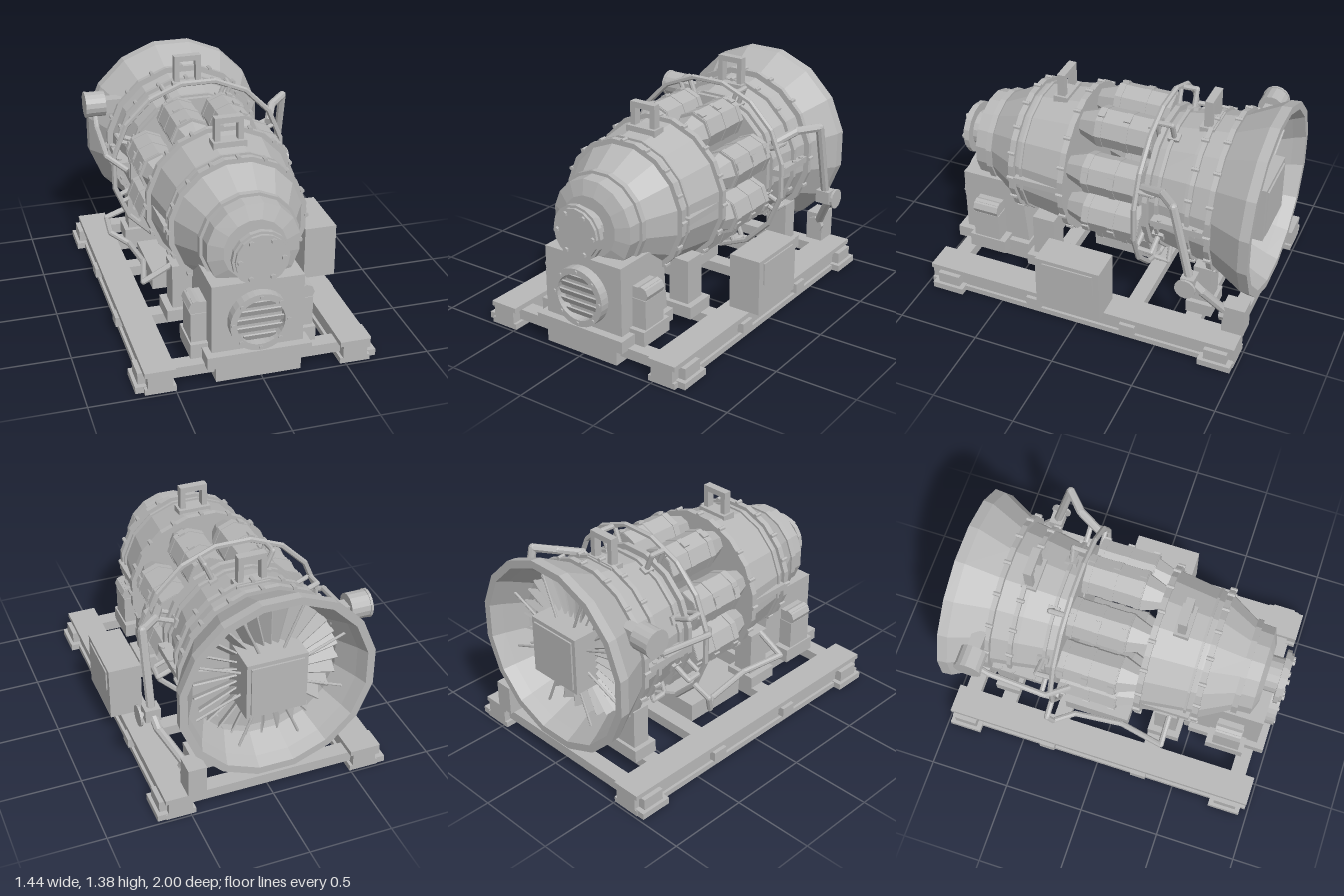
import * as THREE from 'three';

const steel = new THREE.MeshStandardMaterial({ color: 0xb8b8b8, flatShading: true, side: THREE.DoubleSide });
steel.name = 'grey steel';

export function createModel() {
  const model = new THREE.Group();
  const g = new THREE.Group();
  g.name = 'gasTurbine';
  g.position.x = -0.014;
  model.add(g);
  const AXIS = 0.755;
  const engine = new THREE.Group();
  engine.name = 'engine';
  engine.position.y = AXIS;
  g.add(engine);

  const add = (name, geo, parent = g) => {
    const m = new THREE.Mesh(geo, steel);
    m.name = name;
    parent.add(m);
    return m;
  };
  // box given by its min and max along each axis
  const box = (name, x0, x1, y0, y1, z0, z1, parent = g) => add(name,
    new THREE.BoxGeometry(x1 - x0, y1 - y0, z1 - z0)
      .translate((x0 + x1) / 2, (y0 + y1) / 2, (z0 + z1) / 2), parent);
  const mirrorBox = (name, x0, x1, ...r) => { box(name, x0, x1, ...r); box(name, -x1, -x0, ...r); };
  // sixteen-sided turned part around z, flats on top and sides; points are [z, apothem]
  const turned = (name, pts) => add(name, new THREE.LatheGeometry(
    pts.map(([z, r]) => new THREE.Vector2(r / Math.cos(Math.PI / 16), z)), 16, Math.PI / 16)
    .rotateX(Math.PI / 2), engine);
  const ring = (name, z0, z1, r, inner) => turned(name, [[z0, inner], [z0, r], [z1, r], [z1, inner]]);
  const disc = (name, r, z0, z1, sides, x, y, parent = g) => add(name,
    new THREE.CylinderGeometry(r, r, z1 - z0, sides).rotateX(Math.PI / 2)
      .translate(x, y, (z0 + z1) / 2), parent);
  const polar = (n, r, fn, start = 0) => {
    for (let i = 0; i < n; i++) {
      const a = start + i * 2 * Math.PI / n;
      fn(Math.sin(a) * r, Math.cos(a) * r, a);
    }
  };
  const rod = (name, a, b, r, parent) => {
    const d = b.clone().sub(a);
    const m = add(name, new THREE.CylinderGeometry(r, r, d.length(), 8), parent);
    m.position.copy(a).addScaledVector(d, 0.5);
    m.quaternion.setFromUnitVectors(new THREE.Vector3(0, 1, 0), d.normalize());
  };
  const pipe = (name, pts, r, parent = g) => {
    const p = pts.map(q => new THREE.Vector3(...q));
    p.forEach((q, i) => {
      if (i) rod(name, p[i - 1], q, r, parent);
      if (i && i < p.length - 1) add(name + 'Elbow', new THREE.SphereGeometry(r, 8, 6), parent).position.copy(q);
    });
  };

  // turbine casing and its flanges
  turned('turbineCasing', [[0.17, 0], [0.17, 0.43], [0.5, 0.385], [0.545, 0.375], [0.73, 0.27], [0.835, 0.265], [0.865, 0.18], [0.865, 0]]);
  ring('exhaustFlange', 0.72, 0.755, 0.287, 0.2);
  ring('turbineFlange', 0.51, 0.545, 0.405, 0.3);
  ring('turbineBand', 0.46, 0.475, 0.402, 0.3);
  ring('combustorFlange', 0.17, 0.205, 0.452, 0.3);

  // compressor casing, inlet bell with its inside wall
  turned('compressorCasing', [[-0.74, 0.46], [-0.56, 0.435], [-0.34, 0.395], [-0.34, 0.2]]);
  ring('compressorFrontFlange', -0.345, -0.315, 0.43, 0.2);
  ring('compressorRing', -0.41, -0.39, 0.425, 0.3);
  ring('compressorRing', -0.61, -0.585, 0.462, 0.35);
  ring('inletFlange', -0.745, -0.715, 0.492, 0.4);
  turned('inletBell', [[-0.72, 0], [-0.72, 0.43], [-0.8, 0.43], [-0.93, 0.5], [-1, 0.53], [-1, 0.575], [-0.94, 0.57], [-0.74, 0.465]]);
  box('noseBox', -0.18, 0.18, -0.18, 0.18, -0.97, -0.72, engine);
  box('noseCover', -0.155, 0.155, -0.155, 0.155, -0.98, -0.97, engine);
  polar(28, 0.3, (x, y, a) => {
    const b = add('inletVane', new THREE.BoxGeometry(0.01, 0.27, 0.085).rotateY(0.55), engine);
    b.position.set(x, y, -0.79);
    b.rotation.z = -a;
  });
  polar(8, 1, (x, y) => rod('inletStrut', new THREE.Vector3(x * 0.16, y * 0.16, -0.88),
    new THREE.Vector3(x * 0.48, y * 0.48, -0.88), 0.008, engine), Math.PI / 8);

  // flange bolts
  for (const [z, r] of [[0.53, 0.408], [0.19, 0.455], [-0.595, 0.465], [-0.73, 0.495]])
    polar(16, r, (x, y) => disc('flangeBolt', 0.013, z - 0.022, z + 0.022, 6, x, y, engine));

  // horizontal split flanges
  for (const s of [-1, 1]) {
    box('splitFlange', s * 0.45 - 0.035, s * 0.45 + 0.035, -0.02, 0.02, -0.7, -0.39, engine);
    box('splitFlange', s * 0.4 - 0.025, s * 0.4 + 0.025, -0.02, 0.02, 0.21, 0.5, engine);
    for (const z of [-0.65, -0.57, -0.44])
      add('splitBolt', new THREE.CylinderGeometry(0.013, 0.013, 0.06, 6).translate(s * 0.472, 0, z), engine);
  }

  // combustor cans with straps, transition ducts and fuel branches
  polar(8, 0.365, (x, y, a) => {
    const can = new THREE.Group();
    can.name = 'combustorCan';
    can.rotation.z = -a;
    engine.add(can);
    const oct = (name, r0, r1, z0, z1, c = 0.365) => add(name,
      new THREE.CylinderGeometry(r1, r0, z1 - z0, 8).rotateY(Math.PI / 8).rotateX(Math.PI / 2)
        .translate(0, c, (z0 + z1) / 2), can);
    oct('canBody', 0.122, 0.122, -0.3, 0.055);
    for (const z of [0.03, -0.13, -0.28]) {
      oct('canStrap', 0.126, 0.126, z - 0.018, z + 0.018);
      box('strapClamp', -0.02, 0.02, 0.475, 0.492, z - 0.02, z + 0.02, can);
    }
    oct('transitionDuct', 0.118, 0.065, 0.055, 0.19, 0.35);
    pipe('fuelBranch', [[0, 0.53, -0.31], [0, 0.535, -0.405], [0, 0.41, -0.405]], 0.016, can);
    box('fuelBlock', -0.025, 0.025, 0.4, 0.43, -0.44, -0.37, can);
    pipe('fuelNozzle', [[0, 0.53, -0.31], [0, 0.365, -0.31]], 0.014, can);
  }, Math.PI / 8);
  add('fuelManifold', new THREE.TorusGeometry(0.545, 0.017, 6, 16).rotateZ(Math.PI / 16)
    .translate(0, 0, -0.31), engine);

  // output shaft and bolted coupling
  disc('outputShaft', 0.11, 0.86, 0.95, 16, 0, 0, engine);
  disc('outputCoupling', 0.165, 0.94, 0.968, 16, 0, 0, engine);
  disc('couplingFace', 0.15, 0.968, 0.985, 16, 0, 0, engine);
  polar(6, 0.125, (x, y) => disc('couplingBolt', 0.016, 0.98, 1, 6, x, y, engine), Math.PI / 6);

  // lifting lugs
  for (const [z, base, top] of [[0.335, 1.16, 1.33], [-0.575, 1.18, 1.375]]) {
    box('lugBase', -0.1, 0.1, base - 0.02, base + 0.03, z - 0.045, z + 0.045);
    mirrorBox('lugLeg', 0.052, 0.085, base, top, z - 0.024, z + 0.024);
    box('lugBar', -0.085, 0.085, top - 0.035, top, z - 0.024, z + 0.024);
  }

  // skid rails, pads and cross beams
  mirrorBox('railTop', 0.482, 0.662, 0.11, 0.14, -0.985, 0.98);
  mirrorBox('railWeb', 0.5, 0.645, 0.03, 0.11, -0.985, 0.98);
  mirrorBox('railBase', 0.482, 0.662, 0, 0.035, -0.985, 0.98);
  for (const z of [-0.88, 0.85]) {
    mirrorBox('cornerFoot', 0.63, 0.71, 0, 0.04, z - 0.1, z + 0.1);
    mirrorBox('cornerBlock', 0.63, 0.69, 0.04, 0.11, z - 0.07, z + 0.07);
  }
  for (const z of [-0.33, 0.275]) mirrorBox('sidePad', 0.63, 0.685, 0.05, 0.11, z - 0.048, z + 0.048);
  for (const z of [-0.9, -0.66, -0.3, 0.3, 0.875]) box('crossBeam', -0.51, 0.51, 0.045, 0.11, z - 0.048, z + 0.048);

  // gearbox with grilled port
  box('sumpTray', -0.25, 0.25, 0, 0.11, 0.45, 0.96);
  box('gearboxBase', -0.305, 0.305, 0.1, 0.175, 0.49, 0.98);
  const side = new THREE.Shape([[0.93, 0.17], [0.93, 0.595], [0.64, 0.595], [0.53, 0.49], [0.5, 0.17]]
    .map(p => new THREE.Vector2(-p[0], p[1])));
  add('gearbox', new THREE.ExtrudeGeometry(side, { depth: 0.536, bevelEnabled: false })
    .translate(0, 0, -0.268).rotateY(Math.PI / 2));
  const portShape = new THREE.Shape().absarc(0, 0, 0.178, 0, Math.PI * 2);
  portShape.holes.push(new THREE.Path().absarc(0, 0, 0.14, 0, Math.PI * 2, true));
  add('portFlange', new THREE.ExtrudeGeometry(portShape, { depth: 0.06, bevelEnabled: false, curveSegments: 16 })
    .translate(0, 0.365, 0.93));
  for (let i = -2; i <= 2; i++) {
    const w = Math.sqrt(0.14 ** 2 - (i * 0.052) ** 2);
    add('portSlat', new THREE.BoxGeometry(2 * w, 0.038, 0.01).rotateX(0.4).translate(0, 0.365 + i * 0.052, 0.96));
  }
  polar(8, 0.16, (x, y) => disc('portBolt', 0.012, 0.985, 0.998, 6, x, 0.365 + y));

  // support pedestals
  mirrorBox('trunnionFoot', 0.26, 0.37, 0.11, 0.2, 0.62, 0.86);
  mirrorBox('trunnionPost', 0.26, 0.36, 0.2, 0.38, 0.66, 0.83);
  for (const s of [-1, 1]) add('trunnionCap', new THREE.CylinderGeometry(0.048, 0.048, 0.16, 8)
    .rotateX(Math.PI / 2).translate(s * 0.322, 0.41, 0.745));
  mirrorBox('trunnionBearing', 0.26, 0.345, 0.37, 0.45, 0.665, 0.825);
  mirrorBox('turbineSupportFoot', 0.2, 0.4, 0.11, 0.185, 0.25, 0.45);
  mirrorBox('turbineSupport', 0.23, 0.36, 0.18, 0.46, 0.28, 0.42);
  mirrorBox('compressorSupportFoot', 0.22, 0.42, 0.11, 0.19, -0.76, -0.6);
  mirrorBox('compressorSupport', 0.25, 0.39, 0.18, 0.44, -0.74, -0.63);

  // oil tank, control cabinet and rear box
  box('oilTank', -0.41, 0.1, 0.15, 0.265, -0.29, 0.12);
  box('controlCabinet', 0.525, 0.725, 0.14, 0.48, -0.175, 0.23);
  box('cabinetPanel', 0.725, 0.733, 0.32, 0.455, -0.135, 0.185);
  box('rearBox', 0.42, 0.53, 0.14, 0.325, -0.995, -0.86);
  disc('rearBoxPort', 0.055, -0.87, -0.84, 8, 0.485, 0.25);

  // starter motor
  add('starterMotor', new THREE.CylinderGeometry(0.08, 0.08, 0.12, 16).rotateZ(Math.PI / 2).translate(-0.555, 1.03, -0.775));
  add('starterRim', new THREE.CylinderGeometry(0.084, 0.084, 0.015, 16).rotateZ(Math.PI / 2).translate(-0.615, 1.03, -0.775));
  box('starterBracket', -0.5, -0.38, 0.97, 1.06, -0.82, -0.74);

  // service pipes, valve and handwheel
  pipe('starterPipe', [[-0.56, 0.96, -0.76], [-0.565, 0.9, -0.68], [-0.575, 0.86, -0.33], [-0.47, 0.8, -0.22]], 0.018);
  pipe('drainPipe', [[-0.48, 0.48, -0.34], [-0.59, 0.44, -0.34], [-0.575, 0.345, -0.31], [-0.48, 0.31, -0.2],
    [-0.46, 0.34, 0.1], [-0.52, 0.36, 0.37], [-0.35, 0.45, 0.37]], 0.018);
  pipe('bleedPipe', [[0.46, 0.97, -0.33], [0.53, 1.02, -0.48], [0.635, 1.035, -0.58], [0.635, 0.56, -0.69],
    [0.62, 0.48, -0.76], [0.5, 0.27, -0.87]], 0.026);
  box('valveBody', 0.59, 0.68, 0.51, 0.59, -0.73, -0.65);
  rod('valveStem', new THREE.Vector3(0.67, 0.545, -0.69), new THREE.Vector3(0.715, 0.545, -0.69), 0.014, g);
  add('handwheel', new THREE.CylinderGeometry(0.062, 0.062, 0.014, 16).rotateZ(Math.PI / 2).translate(0.708, 0.545, -0.69));

  return model;
}
